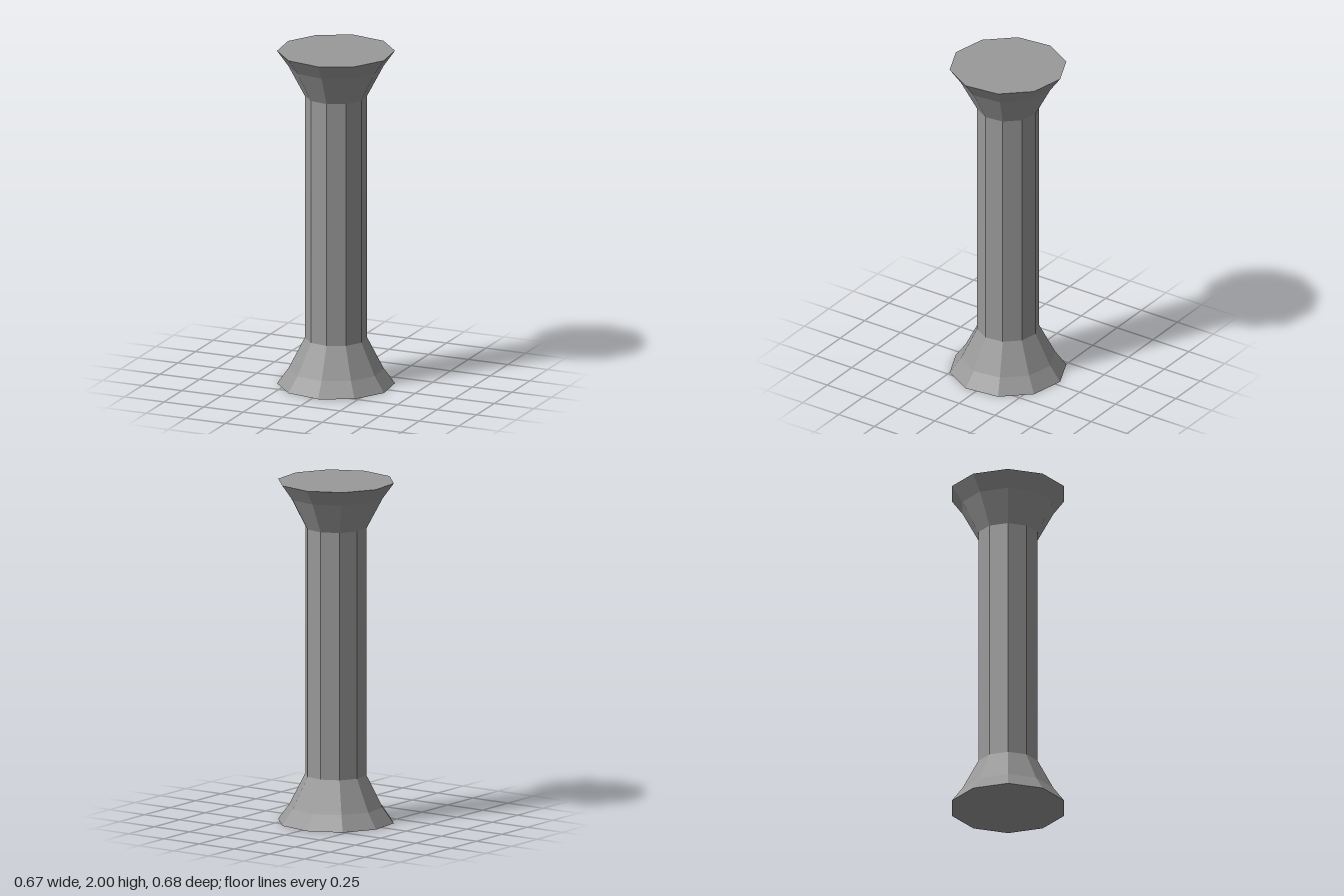
import * as THREE from 'three';

const SIDES = 10;
const TURN = 0.113; // rotation of the decagon about y

const stone = new THREE.MeshStandardMaterial({ color: 0x999999 });
stone.name = 'grey stone';

// Ten-sided faceted solid turned from a bottom-to-top [radius, y] profile
function facetedLathe(name, profile) {
  const points = profile.map(([r, y]) => new THREE.Vector2(r, y));
  const geometry = new THREE.LatheGeometry(points, SIDES, TURN).toNonIndexed();
  geometry.computeVertexNormals();
  const mesh = new THREE.Mesh(geometry, stone);
  mesh.name = name;
  return mesh;
}

export function createModel() {
  const group = new THREE.Group();
  group.name = 'column';

  // Flared foot, in two slopes, closed underneath
  const flare = [[0, 0], [0.34, 0], [0.275, 0.09], [0.18, 0.275]];
  group.add(facetedLathe('base', flare));

  // Straight shaft
  group.add(facetedLathe('shaft', [[0.18, 0.275], [0.18, 1.73]]));

  // Capital: the foot's profile mirrored in height
  const mirrored = flare.map(([r, y]) => [r, 2 - y]).reverse();
  mirrored[0][1] = 1.73;
  group.add(facetedLathe('capital', mirrored));

  return group;
}
